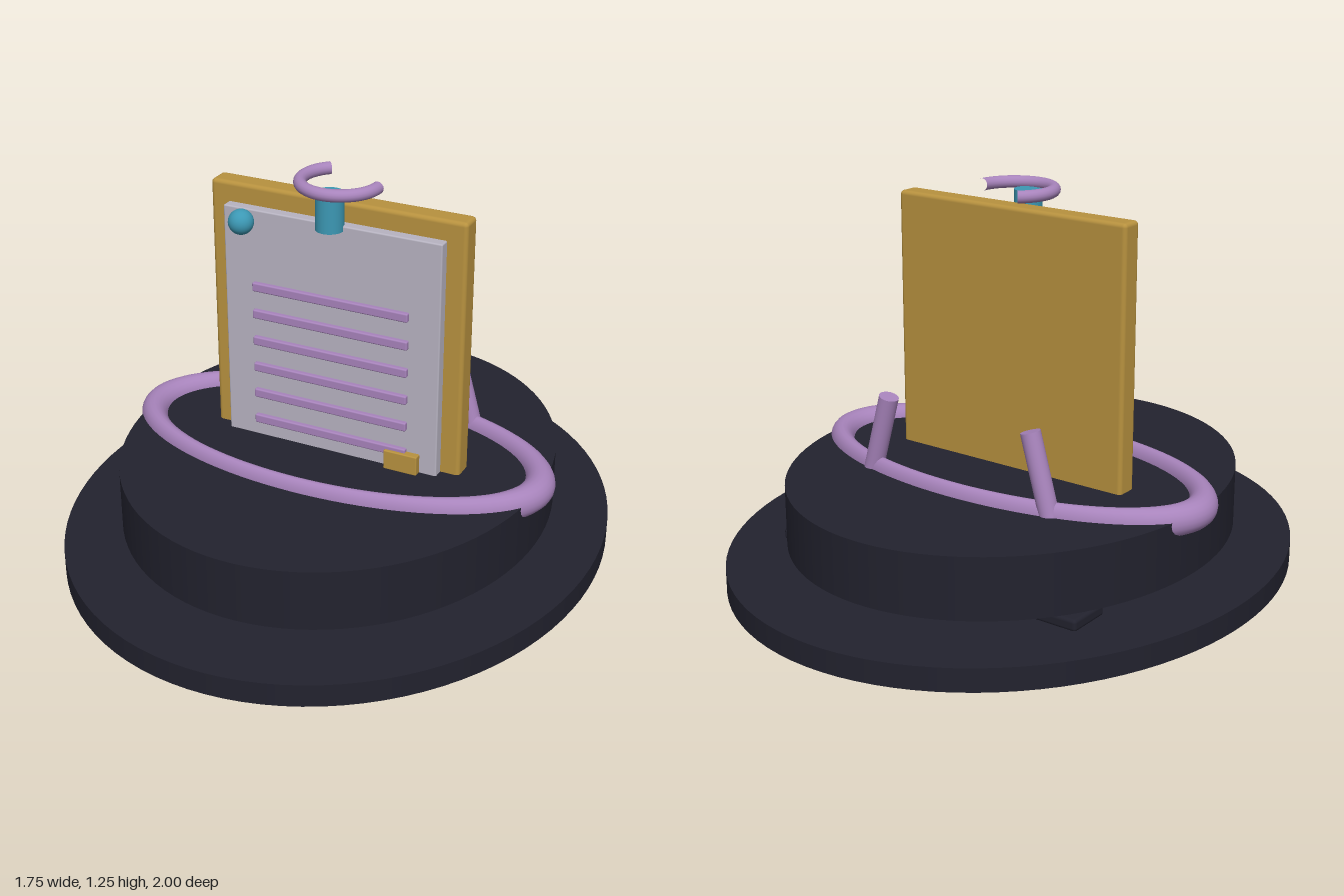
import * as THREE from 'three';
import { RoundedBoxGeometry } from 'three/addons/geometries/RoundedBoxGeometry.js';

const mat = (name, color) => {
  const m = new THREE.MeshStandardMaterial({ color });
  m.name = name;
  return m;
};

export function createModel() {
  const dark = mat('charcoal', 0x22222e);
  const gold = mat('gold', 0xb8923f);
  const paper = mat('paper grey', 0xb8b4c2);
  const purple = mat('purple', 0xa884bc);
  const teal = mat('teal', 0x3c98b4);

  const group = new THREE.Group();
  const add = (name, geometry, material, x = 0, y = 0, z = 0) => {
    const mesh = new THREE.Mesh(geometry, material);
    mesh.name = name;
    mesh.position.set(x, y, z);
    group.add(mesh);
    return mesh;
  };
  // Box given by its min and max corners, with softened edges
  const box = (name, material, [x0, y0, z0], [x1, y1, z1], r) =>
    add(name, new RoundedBoxGeometry(x1 - x0, y1 - y0, z1 - z0, 2, r), material,
      (x0 + x1) / 2, (y0 + y1) / 2, (z0 + z1) / 2);
  // Elliptical slab between two heights
  const slab = (name, rx, rz, y0, y1) =>
    add(name, new THREE.CylinderGeometry(1, 1, y1 - y0, 96).scale(rx, 1, rz), dark, 0, (y0 + y1) / 2, 0);

  // Oval plinth in two tiers
  slab('basePlate', 0.875, 1, 0, 0.075);
  slab('upperDisc', 0.693, 0.792, 0.12, 0.32);

  // Flattened oval ring lying on the upper disc
  add('ovalRing', new THREE.TorusGeometry(0.686, 0.05, 20, 96).rotateX(Math.PI / 2).scale(1, 1, 0.49),
    purple, 0, 0.31, 0);

  // Leaning rear posts with flat feet
  for (const side of [-1, 1]) {
    const bottom = new THREE.Vector3(side * 0.412, 0.09, -0.293);
    const top = new THREE.Vector3(side * 0.278, 0.57, -0.293);
    const dir = top.clone().sub(bottom);
    const post = add('rearPost', new THREE.CylinderGeometry(0.032, 0.032, dir.length(), 24), purple);
    post.position.copy(bottom).add(top).multiplyScalar(0.5);
    post.quaternion.setFromUnitVectors(new THREE.Vector3(0, 1, 0), dir.normalize());
    const [inner, outer] = [side * 0.32, side * 0.58];
    box('foot', dark, [Math.min(inner, outer), 0.07, -0.487], [Math.max(inner, outer), 0.11, -0.335], 0.012);
  }

  // Upright board with a sheet on its front
  box('board', gold, [-0.437, 0.3, -0.037], [0.437, 1.177, 0.04], 0.014);
  box('sheet', paper, [-0.373, 0.3, 0.035], [0.373, 1.112, 0.075], 0.005);

  // Raised text-like bars
  for (let i = 0; i < 6; i++) {
    const y = 0.855 - i * 0.0945;
    box('sheetLine', purple, [-0.27, y - 0.015, 0.07], [0.27, y + 0.015, 0.09], 0.005);
  }
  box('cornerTab', gold, [0.2, 0.318, 0.07], [0.315, 0.385, 0.1], 0.004);

  // Pin, clip post and open hook ring
  add('pin', new THREE.SphereGeometry(0.041, 32, 20), teal, -0.298, 1.075, 0.098);
  add('clipPost', new THREE.CylinderGeometry(0.045, 0.045, 0.12, 32), teal, 0, 1.155, 0.075);
  add('hookRing', new THREE.TorusGeometry(0.125, 0.02, 16, 48, 4.0).rotateX(Math.PI / 2), purple, 0, 1.225, 0);

  return group;
}
